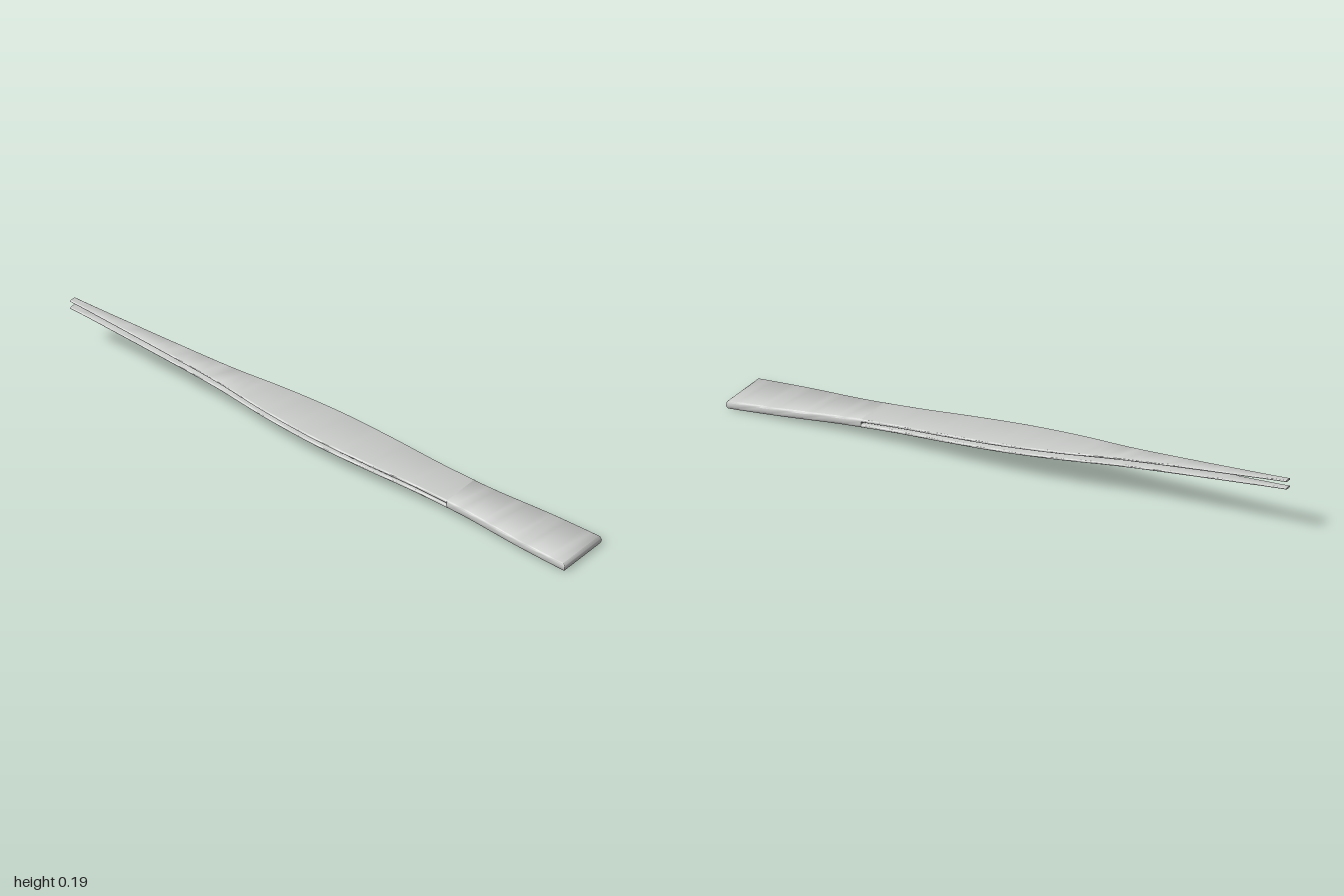
import * as THREE from 'three';
import { toCreasedNormals } from 'three/addons/utils/BufferGeometryUtils.js';

// Half width of the blade at even steps from the tip (x = -1) to the end (x = 1)
const outline = new THREE.SplineCurve(
  [0.013, 0.022, 0.033, 0.047, 0.072, 0.085, 0.083, 0.075, 0.078, 0.093, 0.1]
    .map((w, i) => new THREE.Vector2(-1 + i * 0.2, w)));
const halfWidth = (x) => outline.getPoint((x + 1) / 2).y;

// Sloping outer faces and arm thickness
const topY = (x) => 0.1075 - 0.0795 * x;
const bottomY = (x) => 0.0775 - 0.0775 * x;
const armThickness = (x) => 0.006 + 0.0035 * (x + 1);
const joint = 0.52;

// Ring of points with rounded side edges
function ring(x, low, high, w, round = 0.005) {
  const points = [], steps = 6, mid = (low + high) / 2, h = (high - low) / 2;
  for (const side of [-1, 1]) {
    for (let i = 0; i <= steps; i++) {
      const a = -Math.PI / 2 + (Math.PI * i) / steps;
      points.push([x, mid - side * h * Math.sin(a), side * (w - round + round * Math.cos(a))]);
    }
  }
  // Start at the lower back edge and run over the top to the front
  return points.slice(0, steps + 1).reverse().concat(points.slice(steps + 1).reverse());
}

// Skin a list of rings and close both ends
function loft(rings) {
  const n = rings[0].length, index = [];
  const last = (rings.length - 1) * n;
  for (let i = 0; i < rings.length - 1; i++) {
    for (let j = 0; j < n; j++) {
      const a = i * n + j, b = i * n + (j + 1) % n;
      index.push(a, b, a + n, b, b + n, a + n);
    }
  }
  for (let j = 1; j < n - 1; j++) {
    index.push(0, j + 1, j, last, last + j, last + j + 1);
  }
  const geometry = new THREE.BufferGeometry();
  geometry.setAttribute('position', new THREE.Float32BufferAttribute(rings.flat(2), 3));
  geometry.setIndex(index);
  return toCreasedNormals(geometry, 0.7);
}

// Rings from x0 to x1 between two height rules
function sweep(x0, x1, low, high, count) {
  return Array.from({ length: count + 1 }, (_, i) => {
    const x = x0 + ((x1 - x0) * i) / count;
    return ring(x, low(x), high(x), halfWidth(x));
  });
}

// Reverse the ring so that its outside faces outward when skinned
function upright(rings) {
  const [, y0, z0] = rings[0][0];
  const area = rings[0].reduce((sum, p, i, r) => {
    const q = r[(i + 1) % r.length];
    return sum + (p[1] - y0) * (q[2] - z0) - (q[1] - y0) * (p[2] - z0);
  }, 0);
  return area > 0 ? rings : rings.map((r) => r.slice().reverse());
}

export function createModel() {
  const group = new THREE.Group();
  group.name = 'tweezers';
  const steel = new THREE.MeshStandardMaterial({ color: 0xc8cac8 });
  steel.name = 'steel';

  const add = (name, rings) => {
    const mesh = new THREE.Mesh(loft(upright(rings)), steel);
    mesh.name = name;
    group.add(mesh);
  };

  // Two thin arms with a gap that narrows toward the joint
  add('upperArm', sweep(-1, joint, (x) => topY(x) - armThickness(x), topY, 40));
  add('lowerArm', sweep(-1, joint, bottomY, (x) => bottomY(x) + armThickness(x), 40));

  // Solid joined end with a softly rounded end face
  const nose = 0.008;
  const body = sweep(joint, 1 - nose, bottomY, topY, 16);
  const mid = (bottomY(1) + topY(1)) / 2, half = (topY(1) - bottomY(1)) / 2;
  for (let i = 1; i <= 6; i++) {
    const a = (i / 6) * 1.45;
    const h = half * Math.cos(a);
    body.push(ring(1 - nose + nose * Math.sin(a) / Math.sin(1.45), mid - h, mid + h, 0.1));
  }
  add('joinedEnd', body);
  return group;
}
